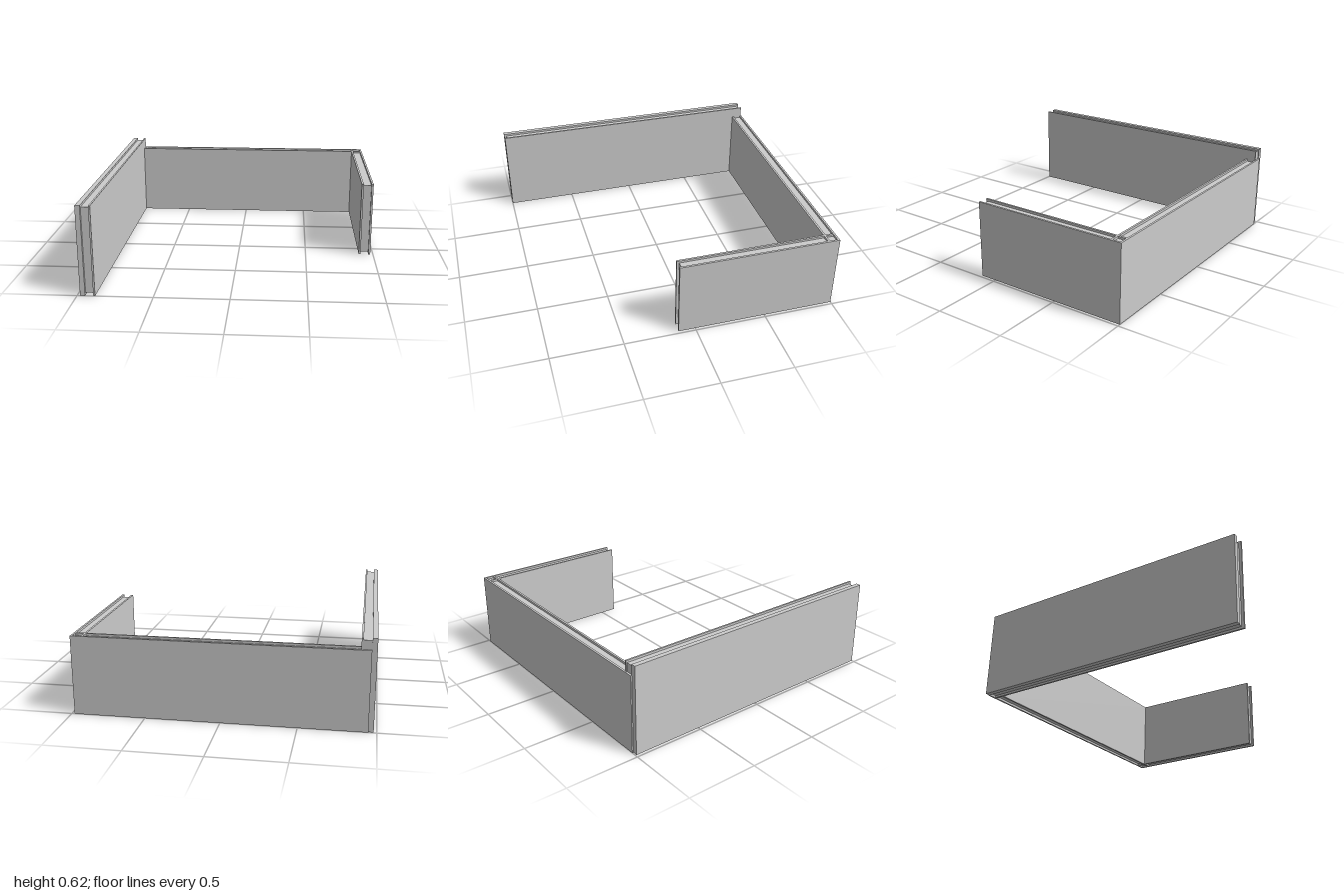
import * as THREE from 'three';

const material = new THREE.MeshStandardMaterial({ color: 0xcccccc });

// box between [min, max] limits on each axis
function slab(parent, name, [x0, x1], [y0, y1], [z0, z1]) {
  const mesh = new THREE.Mesh(new THREE.BoxGeometry(x1 - x0, y1 - y0, z1 - z0), material);
  mesh.position.set((x0 + x1) / 2, (y0 + y1) / 2, (z0 + z1) / 2);
  mesh.name = name;
  parent.add(mesh);
}

function section(root, name) {
  const group = new THREE.Group();
  group.name = name;
  root.add(group);
  return group;
}

export function createModel() {
  const root = new THREE.Group();
  root.name = 'sandwichPanelWalls';
  const low = 0.54, high = 0.615, gap = 0.015; // wall heights, core recess
  const lowY = [0, low], lowCore = [gap, low - gap];

  // tall long wall with a thick outer skin
  const tall = section(root, 'tallWall');
  slab(tall, 'outerSkin', [-0.98, -0.947], [0, high], [-0.992, 1]);
  slab(tall, 'innerSkin', [-0.893, -0.881], [0, high], [-0.992, 1]);
  slab(tall, 'core', [-0.947, -0.893], [gap, high - gap], [-0.985, 0.982]);

  // back wall, its outer skin lapping the end of the tall wall
  const back = section(root, 'backWall');
  slab(back, 'outerSkin', [-0.947, 0.895], lowY, [-1, -0.986]);
  slab(back, 'innerSkin', [-0.881, 0.895], lowY, [-0.931, -0.917]);
  slab(back, 'core', [-0.881, 0.895], lowCore, [-0.986, -0.931]);

  // short side wall
  const short = section(root, 'shortWall');
  slab(short, 'outerSkin', [0.966, 0.98], lowY, [-0.917, 0.118]);
  slab(short, 'innerSkin', [0.895, 0.909], lowY, [-0.917, 0.118]);
  slab(short, 'core', [0.909, 0.966], lowCore, [-0.917, 0.101]);

  // square corner post: four skins around a recessed core
  const post = section(root, 'cornerPost');
  slab(post, 'outerSkin', [0.966, 0.98], lowY, [-1, -0.917]);
  slab(post, 'innerSkin', [0.895, 0.909], lowY, [-1, -0.917]);
  slab(post, 'backSkin', [0.909, 0.966], lowY, [-1, -0.986]);
  slab(post, 'frontSkin', [0.909, 0.966], lowY, [-0.931, -0.917]);
  slab(post, 'core', [0.909, 0.966], lowCore, [-0.986, -0.931]);

  return root;
}
